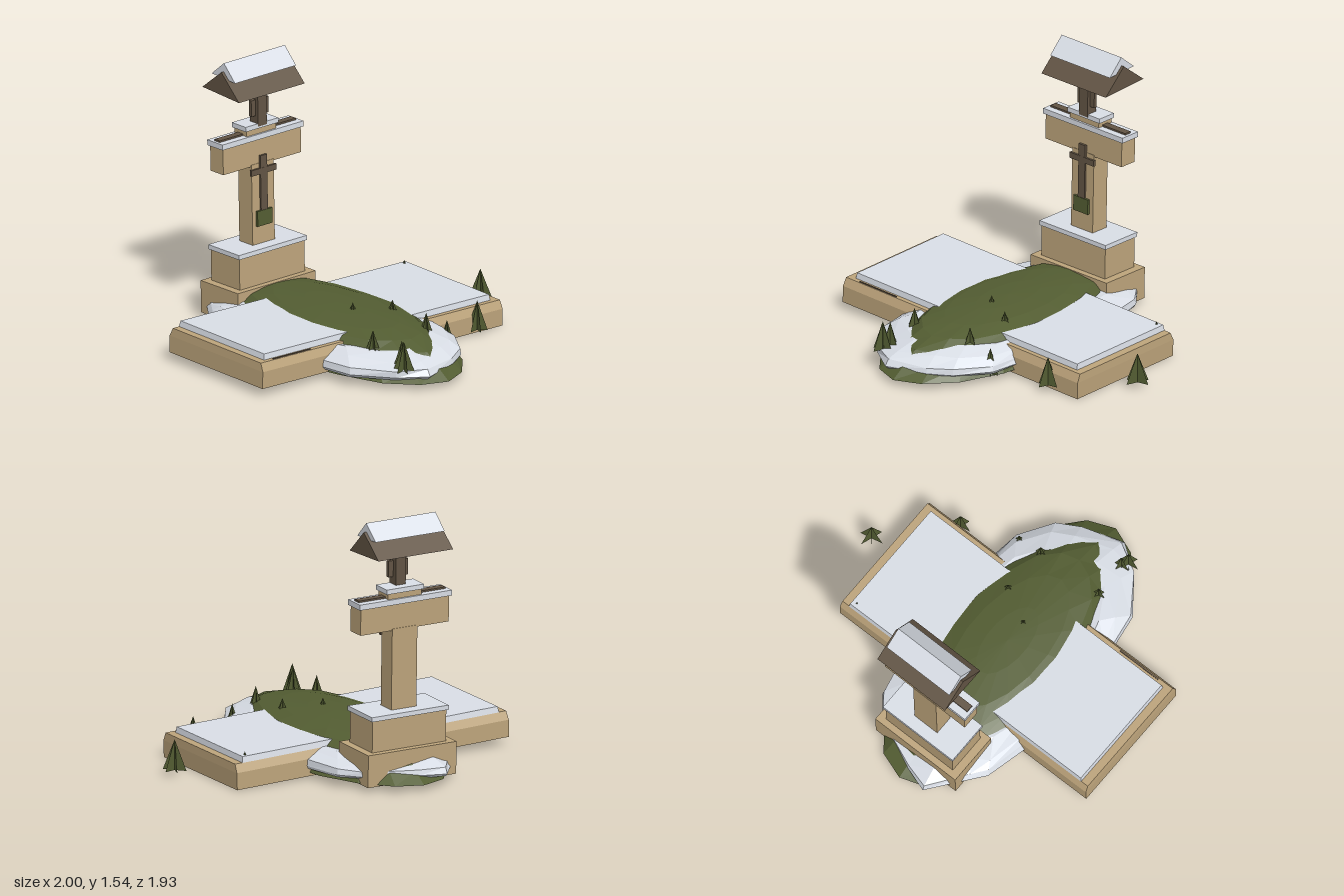
import * as THREE from 'three';

const mat = (name, color, extra = {}) => {
  const m = new THREE.MeshStandardMaterial({ color, flatShading: true, ...extra });
  m.name = name;
  return m;
};

export function createModel() {
  const root = new THREE.Group();
  root.name = 'snowyGrave';
  const D = { side: THREE.DoubleSide };
  const stone = mat('sandstone', 0xbda47b);
  const snow = mat('snow', 0xd9dee6, D);
  const moss = mat('moss', 0x535d32, D);
  const wood = mat('darkWood', 0x625444);

  let seed = 7;
  const rand = () => (seed = (seed * 16807) % 2147483647) / 2147483647;

  const add = (parent, name, geo, m, x = 0, y = 0, z = 0) => {
    const mesh = new THREE.Mesh(geo, m);
    mesh.name = name;
    mesh.position.set(x, y, z);
    parent.add(mesh);
    return mesh;
  };
  // Box given by its bottom height, with optionally inset top edges
  const block = (parent, name, m, w, h, d, x, y, z, insetX = 0, insetZ = insetX) => {
    const geo = new THREE.BoxGeometry(w, h, d);
    const p = geo.attributes.position;
    for (let i = 0; i < p.count; i++) {
      if (p.getY(i) > 0) {
        p.setX(i, p.getX(i) - Math.sign(p.getX(i)) * insetX);
        p.setZ(i, p.getZ(i) - Math.sign(p.getZ(i)) * insetZ);
      }
    }
    geo.computeVertexNormals();
    return add(parent, name, geo, m, x, y + h / 2, z);
  };
  // Four thin walls, open above and below
  const rect = (P, w, d) => new P([
    new THREE.Vector2(-w, -d), new THREE.Vector2(w, -d), new THREE.Vector2(w, d), new THREE.Vector2(-w, d)]);
  const walls = (parent, name, m, w, h, d, y) => {
    const s = rect(THREE.Shape, w / 2, d / 2);
    s.holes.push(rect(THREE.Path, w / 2 - 0.012, d / 2 - 0.012));
    const geo = new THREE.ExtrudeGeometry(s, { depth: h, bevelEnabled: false });
    return add(parent, name, geo.rotateX(-Math.PI / 2), m, 0, y, 0);
  };
  // Gable prism running along x
  const gable = (parent, name, m, w, h, d, y) => {
    const s = new THREE.Shape([
      new THREE.Vector2(-d / 2, 0), new THREE.Vector2(d / 2, 0), new THREE.Vector2(0, h)]);
    const geo = new THREE.ExtrudeGeometry(s, { depth: w, bevelEnabled: false });
    geo.translate(0, 0, -w / 2).rotateY(Math.PI / 2);
    return add(parent, name, geo, m, 0, y, 0);
  };
  // Open mound: rings of an outline [x, z], profile = [scale, height, roughness]
  const mound = (name, m, outline, profile, x) => {
    const pos = [], idx = [], n = outline.length;
    profile.forEach(([s, y, rough = 0]) => outline.forEach(([px, pz]) => {
      const k = s + (rand() - 0.5) * rough;
      pos.push(px * k, y + (rand() - 0.5) * rough * 0.35, pz * k);
    }));
    for (let i = 0; i < profile.length - 1; i++) {
      for (let j = 0; j < n; j++) {
        const a = i * n + j, b = i * n + (j + 1) % n;
        idx.push(a, a + n, b, b, a + n, b + n);
      }
    }
    const geo = new THREE.BufferGeometry();
    geo.setAttribute('position', new THREE.Float32BufferAttribute(pos, 3));
    geo.setIndex(idx);
    geo.computeVertexNormals();
    add(root, name, geo, m, x);
  };

  // Sunken, tilted slab: hollow below, bevelled rim, snow above
  const slab = new THREE.Group();
  slab.name = 'slab';
  slab.position.set(-0.105, 0.025, 0);
  slab.rotation.z = -0.028;
  root.add(slab);
  walls(slab, 'slabWalls', stone, 1.79, 0.1, 0.8, 0);
  block(slab, 'slabRim', stone, 1.79, 0.048, 0.8, 0, 0.1, 0, 0.003, 0.022);
  block(slab, 'slabSnow', snow, 1.69, 0.035, 0.73, 0, 0.147, -0.015, 0.006);
  block(slab, 'fallenStick', wood, 0.28, 0.006, 0.008, -0.655, 0.147, 0.37);

  // Mossy mound
  const oval = Array.from({ length: 18 }, (_, j) => {
    const t = ((j + 0.5) / 18) * Math.PI * 2;
    return [0.46 * Math.cos(t), 0.96 * Math.sin(t)];
  });
  mound('mossMound', moss, oval, [
    [1, 0.035, 0.02], [0.9, 0.1, 0.04], [0.8, 0.155, 0.04], [0.68, 0.2, 0.03],
    [0.5, 0.226], [0.25, 0.24], [0, 0.245]], -0.1);

  // Snow banked around the mound, wider on the left
  mound('snowBank', snow, [
    [0.45, 0], [0.44, 0.35], [0.41, 0.57], [0.28, 0.76], [0.15, 0.84], [-0.09, 0.92], [-0.25, 0.81],
    [-0.41, 0.6], [-0.44, 0.4], [-0.45, 0], [-0.44, -0.4], [-0.38, -0.65], [-0.31, -0.74],
    [-0.15, -0.95], [0, -0.9], [0.28, -0.78], [0.39, -0.65], [0.44, -0.4]], [
    [0.97, 0.055, 0.04], [1, 0.075], [0.98, 0.11, 0.04], [0.88, 0.145, 0.06], [0.75, 0.172, 0.05],
    [0.6, 0.16], [0.45, 0.12], [0.2, 0.12], [0, 0.15]], -0.11);

  // Headstone, leaning slightly back
  const head = new THREE.Group();
  head.name = 'headstone';
  head.position.set(-0.105, 0, -0.662);
  head.rotation.x = -0.024;
  root.add(head);
  walls(head, 'plinthWalls', stone, 0.58, 0.17, 0.32, 0.03);
  block(head, 'plinthTop', stone, 0.58, 0.02, 0.32, 0, 0.2, 0);
  block(head, 'pedestal', stone, 0.485, 0.19, 0.245, 0, 0.215, 0);
  block(head, 'pedestalSnow', snow, 0.505, 0.027, 0.265, 0, 0.405, 0);
  block(head, 'pillar', stone, 0.165, 0.48, 0.115, 0, 0.43, -0.003);
  block(head, 'crossbar', stone, 0.58, 0.155, 0.11, 0, 0.9, -0.003);
  block(head, 'crossbarSnow', snow, 0.605, 0.032, 0.13, 0, 1.053, -0.003);
  block(head, 'crossbarBoard', wood, 0.57, 0.01, 0.045, 0, 1.085, -0.003);
  block(head, 'cap', stone, 0.22, 0.035, 0.105, 0, 1.085, -0.003);
  block(head, 'capSnow', snow, 0.245, 0.028, 0.12, 0, 1.118, -0.003);

  // Wooden cross and mossy plaque on the pillar front
  block(head, 'crossUpright', wood, 0.05, 0.355, 0.016, 0, 0.6, 0.058);
  block(head, 'crossArm', wood, 0.185, 0.035, 0.016, 0, 0.847, 0.059);
  block(head, 'plaque', moss, 0.11, 0.09, 0.018, 0, 0.54, 0.06);

  // Roofed wooden marker on top
  block(head, 'markerPost', wood, 0.065, 0.25, 0.07, 0, 1.13, 0.025);
  block(head, 'markerBlock', wood, 0.128, 0.095, 0.02, 0, 1.19, 0.03);
  const roof = new THREE.Group();
  roof.name = 'roof';
  roof.position.set(0, 1.352, -0.012);
  roof.rotation.x = 0.06;
  head.add(roof);
  gable(roof, 'roofWood', wood, 0.49, 0.137, 0.315, 0);
  gable(roof, 'roofSnow', snow, 0.455, 0.092, 0.2, 0.096);

  // Grass tufts made of crossed triangular blades: x, y, z, radius, height
  const blade = new THREE.BufferGeometry();
  blade.setAttribute('position', new THREE.Float32BufferAttribute([-1, 0, 0, 1, 0, 0, 0, 1, 0], 3));
  blade.computeVertexNormals();
  [
    [0.93, 0.03, 0.05, 0.07, 0.18], [0.585, 0.03, 0.42, 0.06, 0.175], [0.255, 0.04, 0.54, 0.05, 0.16],
    [-0.29, 0.11, 0.78, 0.05, 0.165], [-0.31, 0.11, 0.82, 0.06, 0.175], [-0.31, 0.13, 0.555, 0.05, 0.15],
    [0.1, 0.14, 0.54, 0.045, 0.14], [0.1, 0.19, 0.25, 0.035, 0.09], [-0.1, 0.22, 0.14, 0.025, 0.06],
    [0.71, 0.15, -0.35, 0.02, 0.055],
  ].forEach(([x, y, z, r, h]) => {
    const tuft = new THREE.Group();
    tuft.name = 'grassTuft';
    tuft.position.set(x, y, z);
    for (let i = 0; i < 3; i++) {
      const b = add(tuft, 'blade', blade, moss);
      b.scale.set(r, h, r);
      b.rotation.y = (i * Math.PI) / 3 + 0.2;
    }
    root.add(tuft);
  });
  return root;
}
